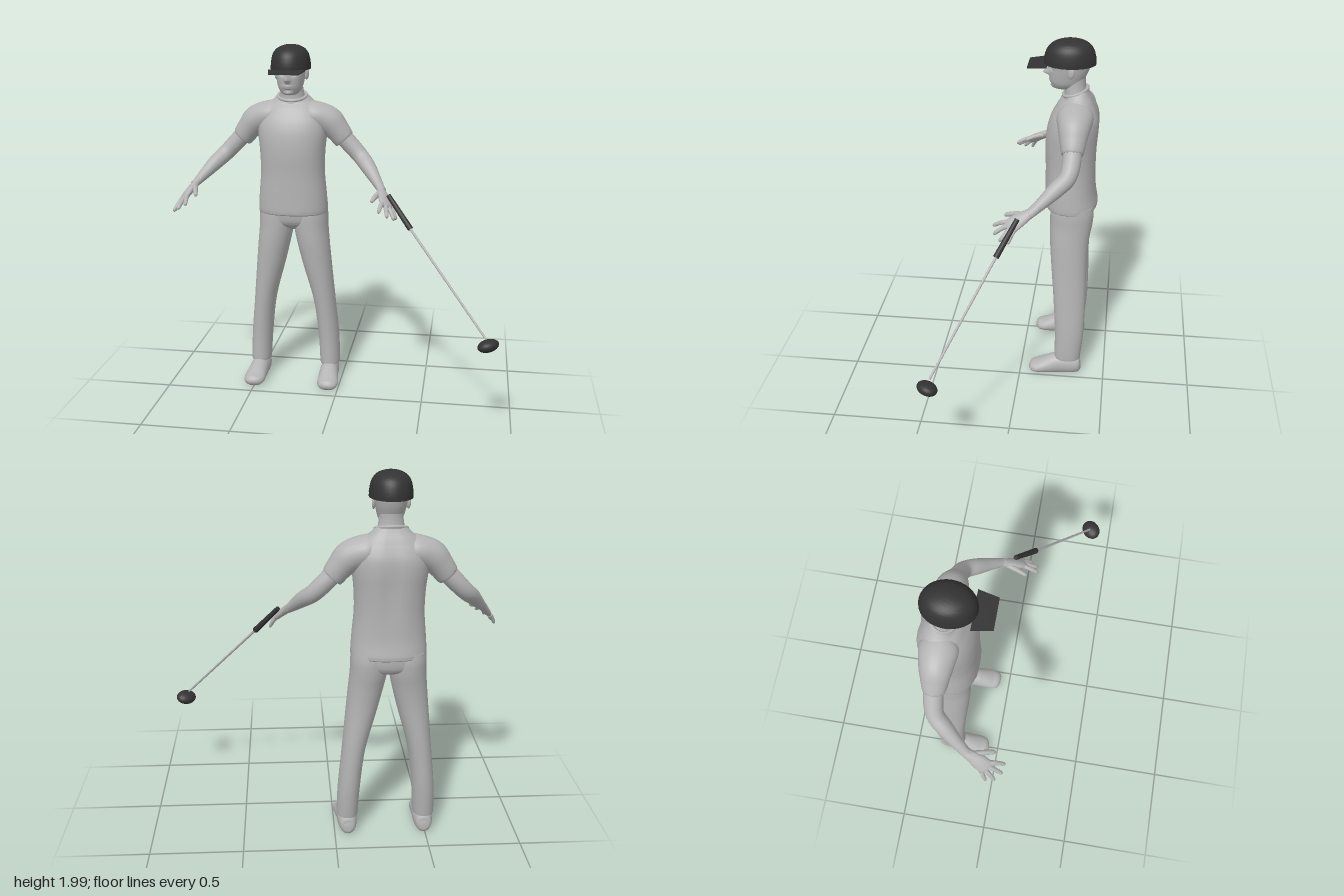
import * as THREE from 'three';
import { toCreasedNormals } from 'three/addons/utils/BufferGeometryUtils.js';

const CX = -0.283; // centre line of the figure
const V = (x, y, z) => new THREE.Vector3(x, y, z);

export function createModel() {
  const model = new THREE.Group();
  model.name = 'golfer';
  const grey = new THREE.MeshStandardMaterial({ color: 0xb4b4b4 });
  grey.name = 'plain grey';
  const black = new THREE.MeshStandardMaterial({ color: 0x333333 });
  black.name = 'black';

  function add(name, geometry, material = grey) {
    const mesh = new THREE.Mesh(geometry, material);
    mesh.name = name;
    model.add(mesh);
    return mesh;
  }

  // Closed skin over a list of rings
  function skin(rings) {
    const n = rings[0].length, pos = [], idx = [];
    rings.forEach(r => r.forEach(p => pos.push(p.x, p.y, p.z)));
    for (let i = 0; i < rings.length - 1; i++) for (let j = 0; j < n; j++) {
      const a = i * n + j, b = i * n + (j + 1) % n, c = b + n, d = a + n;
      idx.push(a, d, c, a, c, b);
    }
    [0, rings.length - 1].forEach((ri, end) => {
      const mid = rings[ri].reduce((s, p) => s.add(p), V(0, 0, 0)).divideScalar(n);
      const m = pos.length / 3;
      pos.push(mid.x, mid.y, mid.z);
      for (let j = 0; j < n; j++) {
        const a = ri * n + j, b = ri * n + (j + 1) % n;
        if (end) idx.push(m, b, a); else idx.push(m, a, b);
      }
    });
    const g = new THREE.BufferGeometry();
    g.setAttribute('position', new THREE.Float32BufferAttribute(pos, 3));
    g.setIndex(idx);
    return toCreasedNormals(g, 1.0);
  }

  // Smoothly fills in rows between the given ones
  function refine(rows, sub) {
    const out = [];
    for (let i = 0; i < rows.length - 1; i++) for (let s = 0; s < sub; s++) {
      const p = rows[Math.max(i - 1, 0)], a = rows[i], b = rows[i + 1], q = rows[Math.min(i + 2, rows.length - 1)];
      const t = s / sub;
      out.push(a.map((_, k) => {
        const c1 = b[k] - p[k];
        const c2 = 2 * p[k] - 5 * a[k] + 4 * b[k] - q[k];
        const c3 = 3 * (a[k] - b[k]) + q[k] - p[k];
        return a[k] + 0.5 * t * (c1 + t * (c2 + t * c3));
      }));
    }
    out.push(rows[rows.length - 1]);
    return out;
  }

  // Upright body: rows of [y, front z, back z, centre x, half width]
  function loft(rows, { n = 36, sub = 5, power = 2.3, warp } = {}) {
    const e = 2 / power;
    return skin(refine(rows, sub).map(([y, zf, zb, x, w]) => Array.from({ length: n }, (_, j) => {
      const a = j / n * Math.PI * 2, c = Math.cos(a), s = Math.sin(a);
      const p = V(x + w * Math.sign(c) * Math.pow(Math.abs(c), e), y,
        (zf + zb) / 2 + (zf - zb) / 2 * Math.sign(s) * Math.pow(Math.abs(s), e));
      if (warp) warp(p, s);
      return p;
    })));
  }

  // Limb along a path: rows of [x, y, z, radius across, radius thick]
  function limb(rows, ref, { n = 18, sub = 5, warp } = {}) {
    const fine = refine(rows, sub), pts = fine.map(r => V(r[0], r[1], r[2]));
    return skin(fine.map((r, i) => {
      const t = pts[Math.min(i + 1, pts.length - 1)].clone().sub(pts[Math.max(i - 1, 0)]).normalize();
      const u = t.clone().cross(ref).normalize(), v = u.clone().cross(t);
      return Array.from({ length: n }, (_, j) => {
        const a = j / n * Math.PI * 2;
        const p = pts[i].clone().addScaledVector(u, r[3] * Math.cos(a)).addScaledVector(v, r[4] * Math.sin(a));
        if (warp) warp(p);
        return p;
      });
    }));
  }

  function bump(p, x, y, sx, sy) {
    const dx = (p.x - x) / sx, dy = (p.y - y) / sy;
    return Math.exp(-dx * dx - dy * dy);
  }

  // Shirt body, with a shallow groove down the back and a neckline lower in front
  add('shirt', loft([
    [1.045, -0.125, -0.41, CX, 0.196], [1.06, -0.118, -0.416, CX, 0.2], [1.15, -0.118, -0.402, CX, 0.194],
    [1.28, -0.118, -0.4, CX, 0.183], [1.4, -0.114, -0.406, CX, 0.186], [1.5, -0.122, -0.412, CX, 0.196],
    [1.57, -0.142, -0.408, CX, 0.196], [1.62, -0.168, -0.392, CX, 0.178], [1.66, -0.192, -0.372, CX, 0.145],
    [1.69, -0.21, -0.35, CX, 0.11], [1.715, -0.215, -0.335, CX, 0.085],
  ], {
    warp: (p, s) => {
      if (s < 0) p.z += 0.018 * bump(p, CX, 1.45, 0.04, 0.2);
      p.y -= 0.35 * s * Math.max(p.y - 1.65, 0);
    },
  }));

  // Collar ring
  const collar = Array.from({ length: 24 }, (_, i) => {
    const a = i / 24 * Math.PI * 2, s = Math.sin(a);
    return V(CX + 0.08 * Math.cos(a), 1.712 - 0.022 * s, -0.272 + 0.066 * s);
  });
  add('collar', new THREE.TubeGeometry(new THREE.CatmullRomCurve3(collar, true), 48, 0.009, 8, true));

  // Hips
  add('trouserHips', loft([
    [0.94, -0.23, -0.32, CX, 0.05], [0.965, -0.185, -0.375, CX, 0.13],
    [1.0, -0.16, -0.398, CX, 0.186], [1.08, -0.15, -0.402, CX, 0.19],
  ]));

  // Neck and head, the face shaped by bumps
  add('neck', loft([
    [1.66, -0.205, -0.335, CX, 0.078], [1.71, -0.212, -0.33, CX, 0.07],
    [1.76, -0.205, -0.325, CX, 0.062], [1.81, -0.2, -0.325, CX, 0.062],
  ], { power: 2 }));
  const face = (p, s) => {
    if (s < 0.1) return;
    p.z += 0.03 * bump(p, CX, 1.812, 0.013, 0.013) + 0.018 * bump(p, CX, 1.835, 0.01, 0.022)
      + 0.007 * bump(p, CX, 1.779, 0.025, 0.006) + 0.006 * bump(p, CX, 1.767, 0.022, 0.005)
      - 0.006 * bump(p, CX, 1.755, 0.03, 0.006) + 0.008 * bump(p, CX, 1.738, 0.025, 0.012);
    for (const k of [-1, 1]) p.z += 0.006 * bump(p, CX + k * 0.03, 1.862, 0.025, 0.007)
      - 0.013 * bump(p, CX + k * 0.032, 1.844, 0.017, 0.01);
  };
  add('head', loft([
    [1.725, -0.175, -0.25, CX, 0.025], [1.733, -0.15, -0.28, CX, 0.044], [1.76, -0.136, -0.305, CX, 0.064],
    [1.8, -0.13, -0.327, CX, 0.075], [1.84, -0.128, -0.343, CX, 0.082], [1.88, -0.125, -0.35, CX, 0.085],
    [1.94, -0.145, -0.34, CX, 0.072], [1.975, -0.2, -0.29, CX, 0.03],
  ], { n: 72, sub: 9, power: 2.15, warp: face }));

  // Cap crown and flat peak
  add('capCrown', loft([
    [1.865, -0.098, -0.378, CX, 0.111], [1.9, -0.1, -0.376, CX, 0.109], [1.945, -0.115, -0.362, CX, 0.099],
    [1.975, -0.145, -0.335, CX, 0.077], [1.991, -0.185, -0.295, CX, 0.045], [1.997, -0.22, -0.26, CX, 0.016],
  ], { power: 2 }), black);
  const peak = new THREE.BoxGeometry(0.205, 0.005, 0.105);
  const pp = peak.attributes.position;
  for (let i = 0; i < pp.count; i++) if (pp.getZ(i) > 0) pp.setX(i, pp.getX(i) * 0.8);
  const peakMesh = add('capPeak', peak, black);
  peakMesh.position.set(CX, 1.862, -0.068);
  peakMesh.rotation.x = 0.1;

  // Paired parts
  for (const side of [1, -1]) {
    const pre = side > 0 ? 'left' : 'right';
    const mx = x => CX + side * (x - CX);
    const m = rows => rows.map(([x, ...r]) => [mx(x), ...r]);
    const palmNormal = V(0.67 * side, 0.73, 0.17);

    const ear = add(pre + 'Ear', new THREE.SphereGeometry(1, 14, 10));
    ear.scale.set(0.01, 0.032, 0.02);
    ear.position.set(CX + side * 0.086, 1.836, -0.25);
    ear.rotation.set(-0.15, side * -0.35, 0);

    add(pre + 'Sleeve', limb(m([
      [-0.24, 1.615, -0.28, 0.05, 0.07], [-0.17, 1.606, -0.28, 0.098, 0.078], [-0.08, 1.571, -0.28, 0.086, 0.083],
      [-0.03, 1.522, -0.28, 0.072, 0.07], [0.005, 1.475, -0.28, 0.061, 0.062], [0.013, 1.465, -0.28, 0.056, 0.057],
    ]), V(side, 1, 0), { n: 26 }));

    add(pre + 'Arm', limb(m([
      [-0.03, 1.52, -0.28, 0.05, 0.05], [0.05, 1.435, -0.279, 0.05, 0.049], [0.11, 1.373, -0.262, 0.046, 0.046],
      [0.155, 1.33, -0.21, 0.044, 0.043], [0.2, 1.28, -0.15, 0.034, 0.033], [0.238, 1.237, -0.095, 0.027, 0.023],
      [0.25, 1.225, -0.075, 0.027, 0.021],
    ]), palmNormal));
    add(pre + 'Palm', limb(m([
      [0.232, 1.243, -0.105, 0.022, 0.02], [0.248, 1.222, -0.07, 0.03, 0.021], [0.268, 1.193, -0.02, 0.042, 0.02],
      [0.283, 1.168, 0.015, 0.043, 0.017], [0.29, 1.158, 0.03, 0.034, 0.01],
    ]), palmNormal));

    // Thumb first, then fingers: knuckle, tip, radius
    const digits = [
      [[0.238, 1.218, -0.055], [0.205, 1.192, 0.055], 0.014], [[0.262, 1.183, 0.03], [0.25, 1.148, 0.11], 0.012],
      [[0.278, 1.172, 0.02], [0.295, 1.122, 0.103], 0.012], [[0.292, 1.162, 0.008], [0.33, 1.1, 0.068], 0.012],
      [[0.306, 1.152, -0.005], [0.338, 1.092, 0.022], 0.011],
    ];
    digits.forEach(([a, b, r], i) => {
      const at = (t, lift, k) => [...a.map((c, j) => c + (b[j] - c) * t + (j === 1 ? lift : 0)), r * k, r * k];
      add(pre + (i ? 'Finger' + i : 'Thumb'), limb(m([
        at(0, 0, 1.1), at(0.45, 0.006, 1), at(0.85, 0.003, 0.85), at(0.97, 0, 0.55), at(1, 0, 0.15),
      ]), palmNormal, { n: 10, sub: 3 }));
    });

    // Trouser leg and shoe
    add(pre + 'TrouserLeg', loft([
      [0.105, -0.206, -0.355, mx(-0.072), 0.055], [0.12, -0.203, -0.358, mx(-0.072), 0.059],
      [0.28, -0.203, -0.372, mx(-0.08), 0.061], [0.5, -0.188, -0.374, mx(-0.104), 0.064],
      [0.73, -0.167, -0.372, mx(-0.145), 0.084], [0.86, -0.157, -0.38, mx(-0.167), 0.094],
      [0.95, -0.155, -0.394, mx(-0.18), 0.099], [1.02, -0.155, -0.4, mx(-0.183), 0.1],
      [1.07, -0.158, -0.395, mx(-0.185), 0.098],
    ], { power: 2.1 }));

    add(pre + 'Shoe', limb(m([
      [-0.073, 0.05, -0.362, 0.015, 0.02], [-0.073, 0.05, -0.35, 0.04, 0.05], [-0.072, 0.055, -0.3, 0.052, 0.065],
      [-0.07, 0.055, -0.23, 0.055, 0.066], [-0.066, 0.045, -0.17, 0.059, 0.055], [-0.062, 0.034, -0.11, 0.062, 0.038],
      [-0.06, 0.03, -0.072, 0.05, 0.029], [-0.06, 0.028, -0.056, 0.022, 0.012],
    ]), V(0, 1, 0), { n: 24, warp: p => { p.y = Math.max(p.y, 0.004); } }));
  }

  // Golf club
  function rod(name, a, b, ra, rb, material) {
    const mesh = add(name, new THREE.CylinderGeometry(rb, ra, a.distanceTo(b), 16), material);
    mesh.position.copy(a).lerp(b, 0.5);
    mesh.quaternion.setFromUnitVectors(V(0, 1, 0), b.clone().sub(a).normalize());
  }
  const gripTop = V(0.29, 1.215, -0.022), gripEnd = V(0.42, 1.058, 0.073), tip = V(0.835, 0.575, 0.357);
  rod('clubGrip', gripTop, gripEnd, 0.013, 0.016, black);
  rod('clubShaft', gripEnd, tip, 0.007, 0.006, grey);
  const clubHead = add('clubHead', new THREE.SphereGeometry(1, 24, 16), black);
  clubHead.scale.set(0.061, 0.034, 0.05);
  clubHead.position.set(0.855, 0.533, 0.367);
  clubHead.quaternion.setFromUnitVectors(V(0, 1, 0), V(-0.3, 1, -0.25).normalize())
    .multiply(new THREE.Quaternion().setFromAxisAngle(V(0, 1, 0), 0.75));

  return model;
}
